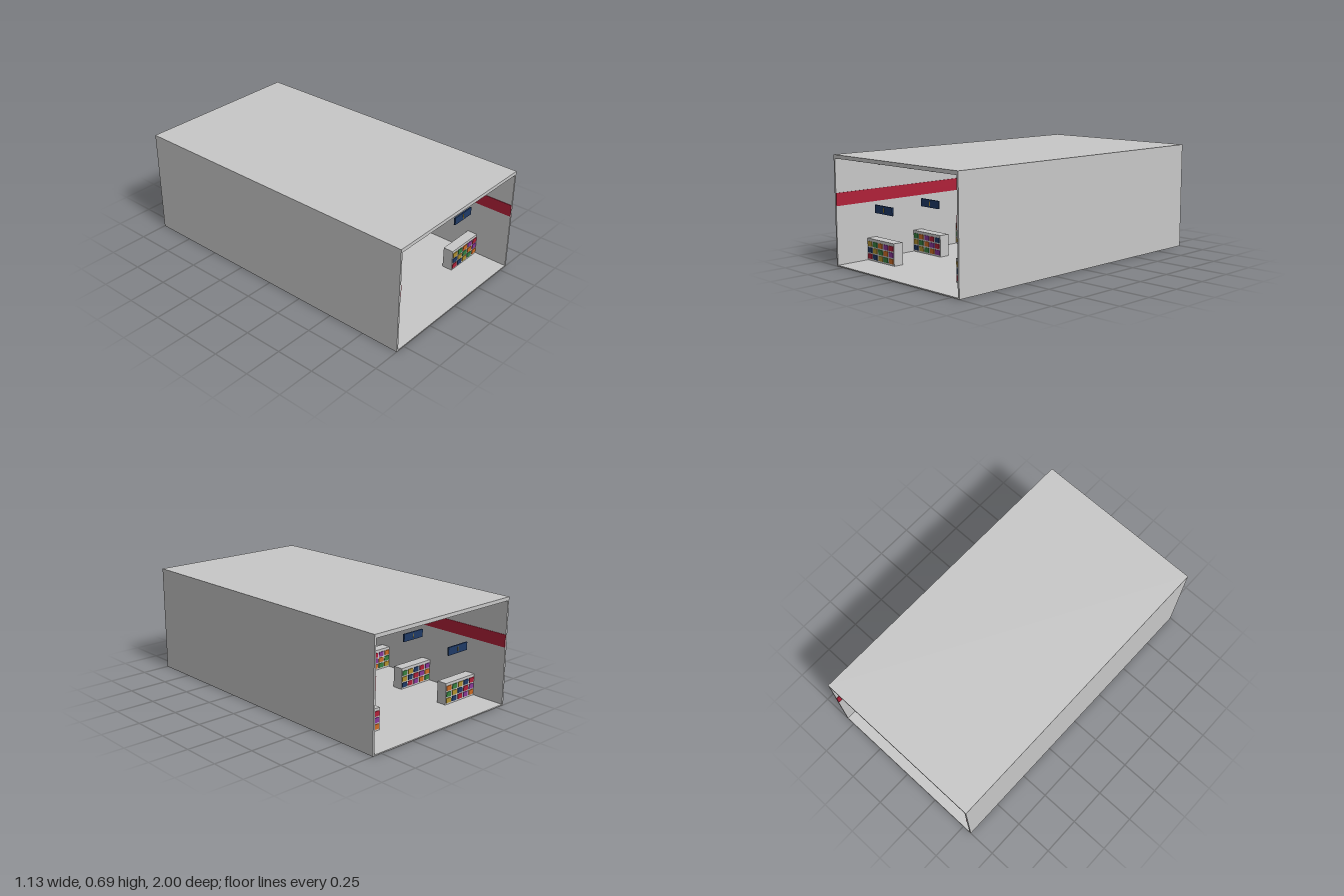
import * as THREE from 'three';

const mat = (name, color) => {
  const m = new THREE.MeshStandardMaterial({ color });
  m.name = name;
  return m;
};

export function createModel() {
  const lightGrey = mat('light grey', 0xc8c8c8);
  const darkGrey = mat('dark grey', 0x4c504e);
  const red = mat('red', 0xb02038);
  const navy = mat('navy', 0x1f3a66);
  const yellow = mat('yellow', 0xb0902e);
  const green = mat('green', 0x37803f);
  const orange = mat('orange', 0xcb6a24);
  const purple = mat('purple', 0x883696);
  const goods = [red, navy, yellow, green, orange, purple];

  const root = new THREE.Group();
  root.name = 'storeHall';

  // box given by its lower and upper limits on each axis
  const box = (parent, name, material, [x0, x1], [y0, y1], [z0, z1]) => {
    const mesh = new THREE.Mesh(new THREE.BoxGeometry(x1 - x0, y1 - y0, z1 - z0), material);
    mesh.position.set((x0 + x1) / 2, (y0 + y1) / 2, (z0 + z1) / 2);
    mesh.name = name;
    parent.add(mesh);
    return mesh;
  };

  // shell: floor with dark underside, roof, two walls, both ends open
  const W = 0.565, IN = 0.553, FLOOR = 0.007, CEIL = 0.667, H = 0.69;
  const floorMats = [lightGrey, lightGrey, lightGrey, darkGrey, lightGrey, lightGrey];
  box(root, 'floor', floorMats, [-W, W], [0, FLOOR], [-1, 1]);
  box(root, 'roof', lightGrey, [-W, W], [CEIL, H], [-1, 1]);
  for (const s of [-1, 1]) {
    const span = (a, b) => (s > 0 ? [a, b] : [-b, -a]);
    box(root, 'wall', lightGrey, span(IN, W), [FLOOR, CEIL], [-1, 1]);
    // red band along the inside of each wall
    box(root, 'wallBand', red, span(IN - 0.004, IN), [0.375, 0.455], [-1, 1]);
    // ceiling light strips
    for (const x of [0.147, 0.333]) {
      box(root, 'lightStrip', lightGrey, span(x - 0.008, x + 0.008), [0.661, CEIL], [-0.98, 0.98]);
    }
  }

  // one shelf with a grid of goods on both ends
  const addShelf = (s, index, z) => {
    const shelf = new THREE.Group();
    shelf.name = 'shelf';
    shelf.position.z = z;
    root.add(shelf);
    const x0 = s > 0 ? 0.286 : -IN, x1 = s > 0 ? IN : -0.286;
    const D = 0.034, pitch = (x1 - x0) / 5;
    box(shelf, 'shelfBody', lightGrey, [x0, x1], [FLOOR, 0.147], [-D, D]);
    for (let row = 0; row < 3; row++) {
      for (let col = 0; col < 5; col++) {
        const cx = x0 + (col + 0.5) * pitch, y = 0.018 + row * 0.04;
        const colour = goods[(row + col + index) % goods.length];
        for (const e of [-1, 1]) {
          const zs = e > 0 ? [D, D + 0.004] : [-D - 0.004, -D];
          box(shelf, 'goods', colour, [cx - 0.0205, cx + 0.0205], [y, y + 0.031], zs);
        }
      }
    }
  };

  // hanging sign with a yellow mark on both faces
  const addSign = (s, z) => {
    const sign = new THREE.Group();
    sign.name = 'aisleSign';
    sign.position.set(s * 0.42, 0.334, z);
    root.add(sign);
    box(sign, 'signPanel', navy, [-0.087, 0.087], [-0.026, 0.026], [-0.005, 0.005]);
    box(sign, 'signMark', yellow, [-0.003, 0.003], [-0.014, 0.014], [-0.007, 0.007]);
  };

  // five aisles on each side, from front to back
  for (let i = 0; i < 5; i++) {
    const z = 0.74 - i * 0.37;
    for (const s of [-1, 1]) {
      addShelf(s, i, z);
      addSign(s, z);
    }
  }
  return root;
}
